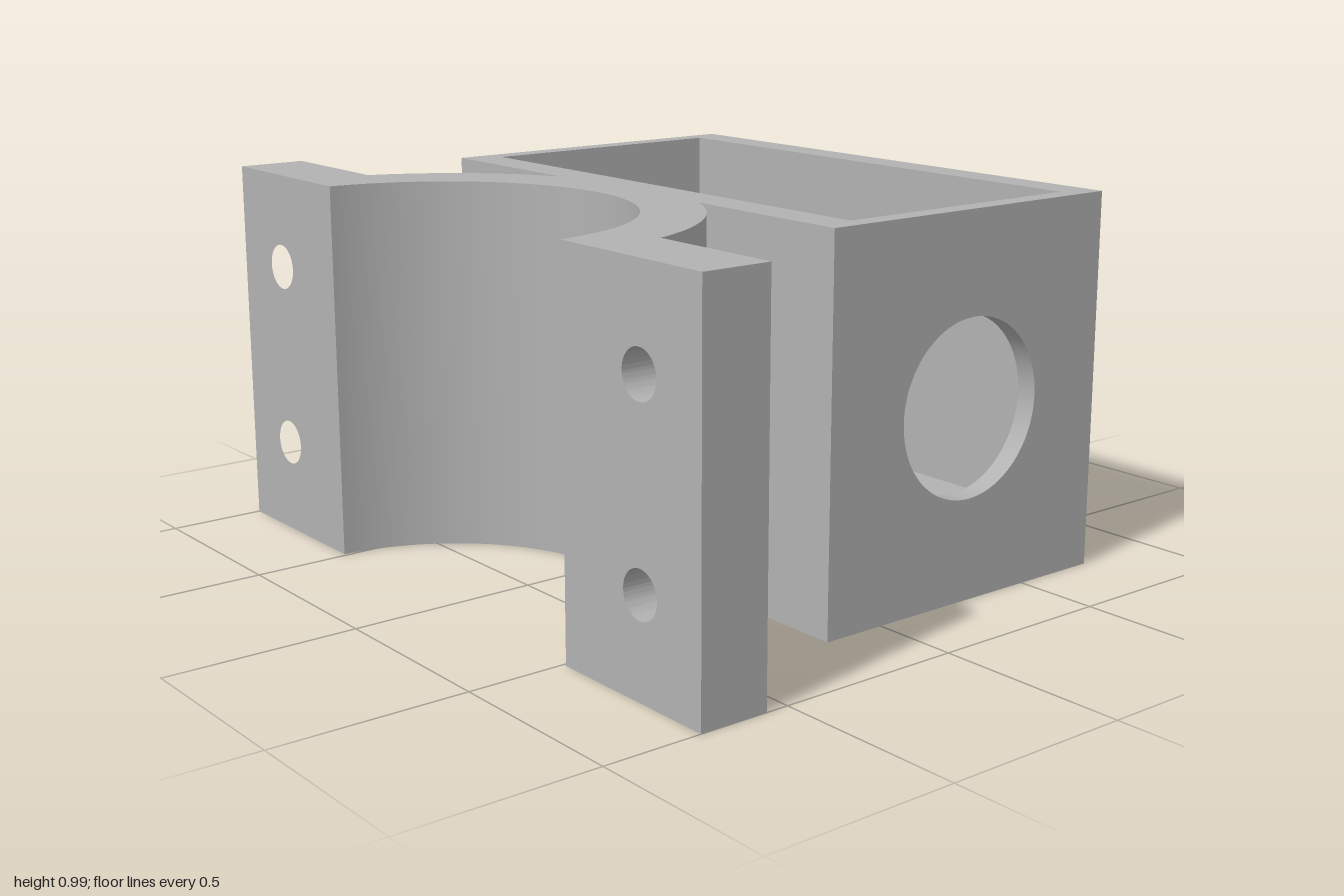
import * as THREE from 'three';
import { toCreasedNormals } from 'three/addons/utils/BufferGeometryUtils.js';

const H = 0.99;                                   // overall height
const BOX = { x0: -0.175, x1: 0.743, z: 0.775 };  // outer box
const CAV = { x0: -0.075, x1: 0.65, z: 0.72, floor: 0.145 }; // cavity
const CLAMP = { x0: -0.743, x1: -0.56, cx: -0.776, rIn: 0.511, rOut: 0.668 };

export function createModel() {
  const group = new THREE.Group();
  const grey = new THREE.MeshStandardMaterial({ color: 0xb2b2b2 });
  grey.name = 'grey';

  const add = (name, geometry) => {
    const mesh = new THREE.Mesh(toCreasedNormals(geometry, 0.4), grey);
    mesh.name = name;
    group.add(mesh);
  };
  const extrude = (shape, depth) =>
    new THREE.ExtrudeGeometry(shape, { depth, bevelEnabled: false, curveSegments: 48 });
  const polygon = (pts) => new THREE.Shape(pts.map(([x, y]) => new THREE.Vector2(x, y)));
  const punch = (shape, x, y, r) =>
    shape.holes.push(new THREE.Path().absarc(x, y, r, 0, Math.PI * 2, true));
  // Plan outline given as (x, -z), raised along y
  const raise = (shape) => extrude(shape, H).rotateX(-Math.PI / 2);

  // Box: back and side walls as one U
  add('boxWalls', raise(polygon([
    [BOX.x0, -CAV.z], [CAV.x0, -CAV.z], [CAV.x0, CAV.z], [CAV.x1, CAV.z],
    [CAV.x1, -CAV.z], [BOX.x1, -CAV.z], [BOX.x1, BOX.z], [BOX.x0, BOX.z],
  ])));

  // Front wall with round opening
  const front = polygon([[BOX.x0, 0], [BOX.x1, 0], [BOX.x1, H], [BOX.x0, H]]);
  punch(front, 0.29, H / 2, 0.23);
  add('frontWall', extrude(front, BOX.z - CAV.z).translate(0, 0, CAV.z));

  // Floor
  add('floor', new THREE.BoxGeometry(CAV.x1 - CAV.x0, CAV.floor, CAV.z * 2)
    .translate((CAV.x0 + CAV.x1) / 2, CAV.floor / 2, 0));

  // Half-round saddle, cut flush with the box wall
  const { x0, x1, cx, rIn, rOut } = CLAMP;
  const aEnd = Math.acos((x1 - cx) / rOut);
  const aBox = Math.acos((BOX.x0 - cx) / rOut);
  const aIn = Math.acos((x0 - cx) / rIn);
  const zEnd = rOut * Math.sin(aEnd);
  const saddle = new THREE.Shape();
  saddle.moveTo(x0, -zEnd);
  saddle.lineTo(x1, -zEnd);
  saddle.absarc(cx, 0, rOut, -aEnd, -aBox, false);
  saddle.absarc(cx, 0, rOut, aBox, aEnd, false);
  saddle.lineTo(x0, zEnd);
  saddle.absarc(cx, 0, rIn, aIn, -aIn, true);
  add('saddle', raise(saddle));

  // Flanges with two screw holes each
  for (const s of [1, -1]) {
    const flange = polygon([[s * zEnd, 0], [s, 0], [s, H], [s * zEnd, H]]);
    for (const y of [0.25, 0.74]) punch(flange, s * 0.79, y, 0.06);
    add(s > 0 ? 'frontFlange' : 'backFlange',
      extrude(flange, x1 - x0).rotateY(-Math.PI / 2).translate(x1, 0, 0));
  }
  return group;
}
